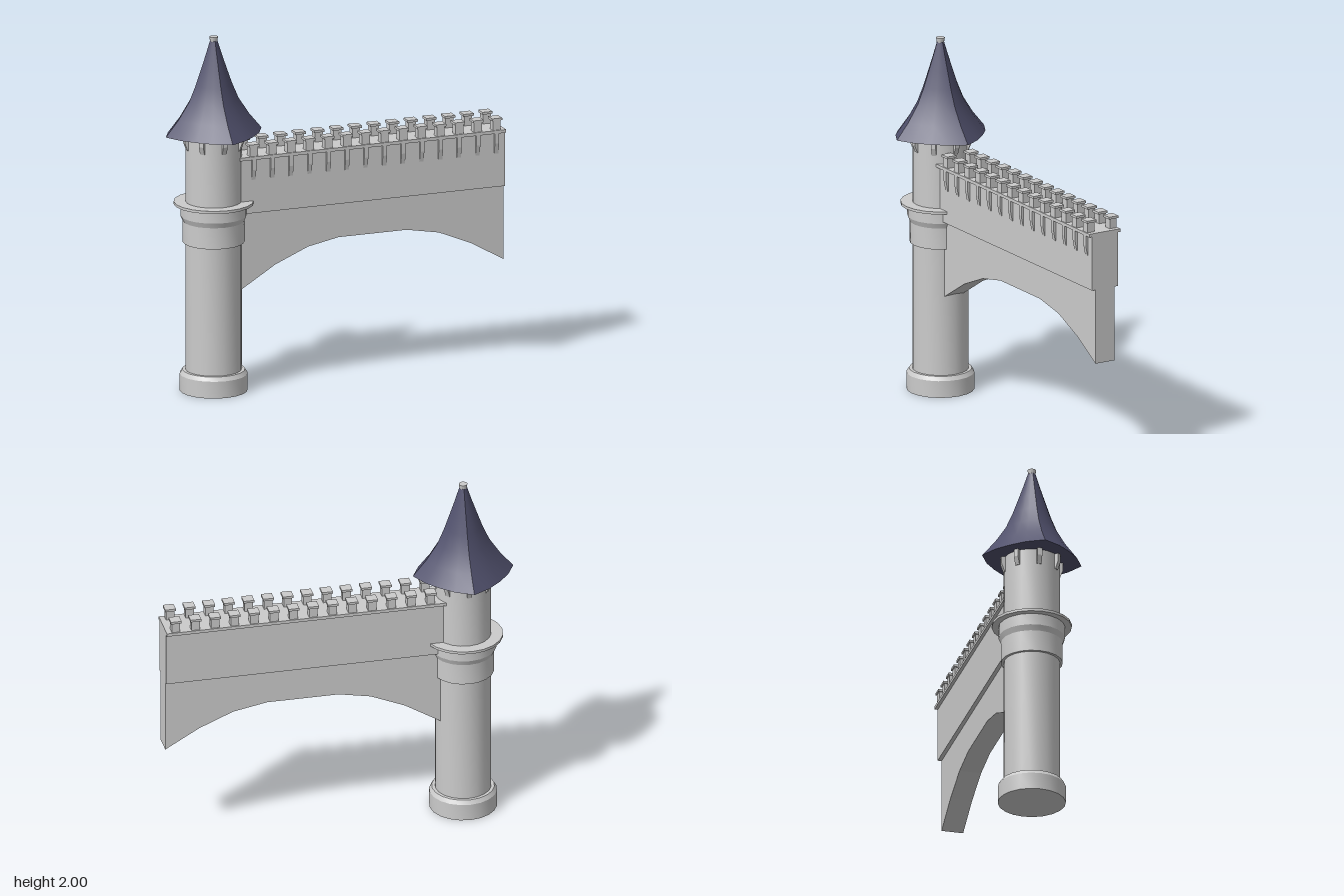
import * as THREE from 'three';
import { toCreasedNormals } from 'three/addons/utils/BufferGeometryUtils.js';

const stone = new THREE.MeshStandardMaterial({ color: 0xcccccc });
const slate = new THREE.MeshStandardMaterial({ color: 0x50506c });

function add(parent, name, geometry, material = stone) {
  const mesh = new THREE.Mesh(geometry, material);
  mesh.name = name;
  parent.add(mesh);
  return mesh;
}

function box(parent, name, w, h, d, x, y, z) {
  const mesh = add(parent, name, new THREE.BoxGeometry(w, h, d));
  mesh.position.set(x, y, z);
  return mesh;
}

const lathe = (pts, sides) =>
  new THREE.LatheGeometry(pts.map(([r, y]) => new THREE.Vector2(r, y)), sides);

// Corbel whose outer face slopes back to the wall; its back is at z = 0
function corbel(width, top, bottom, depth) {
  const s = new THREE.Shape();
  s.moveTo(0, top);
  s.lineTo(0, bottom);
  s.lineTo(depth * 0.3, bottom);
  s.lineTo(depth, bottom + (top - bottom) * 0.5);
  s.lineTo(depth, top);
  const g = new THREE.ExtrudeGeometry(s, { depth: width, bevelEnabled: false });
  g.translate(0, 0, -width / 2);
  return g.rotateY(-Math.PI / 2);
}

function createTower() {
  const tower = new THREE.Group();
  tower.name = 'tower';
  tower.position.x = -0.7;

  // Shaft with stepped plinth and collar
  const profile = [
    [0, 0], [0.186, 0], [0.186, 0.095], [0.172, 0.118], [0.154, 0.118],
    [0.154, 0.84], [0.169, 0.84], [0.169, 0.96], [0.182, 0.99], [0.182, 1.055],
    [0.219, 1.055], [0.219, 1.07], [0.154, 1.07], [0.154, 1.46], [0, 1.46],
  ];
  add(tower, 'shaft', toCreasedNormals(lathe(profile, 20), 0.4));

  // Corbels under the eaves
  const eave = corbel(0.026, 1.46, 1.37, 0.024);
  for (let i = 0; i < 8; i++) {
    const a = (i * Math.PI) / 4;
    const c = add(tower, 'eaveCorbel', eave);
    c.position.set(Math.sin(a) * 0.15, 0, Math.cos(a) * 0.15);
    c.rotation.y = a;
  }

  // Flared roof: four ridges with bulging sides between them
  const roof = lathe([
    [0, 1.457], [0.281, 1.457], [0.208, 1.545], [0.146, 1.64], [0.107, 1.73],
    [0.075, 1.82], [0.047, 1.9], [0.021, 1.98], [0, 1.98],
  ], 16);
  const p = roof.attributes.position;
  for (let i = 0; i < p.count; i++) {
    const a = Math.atan2(p.getX(i), p.getZ(i));
    const k = 1 - 0.16 * Math.abs(Math.sin(2 * a));
    p.setX(i, p.getX(i) * k);
    p.setZ(i, p.getZ(i) * k);
  }
  add(tower, 'roof', toCreasedNormals(roof, 0.45), slate);

  const finial = add(tower, 'finial',
    toCreasedNormals(new THREE.CylinderGeometry(0.024, 0.02, 0.026, 12), 0.6));
  finial.position.y = 1.987;
  return tower;
}

function createWall() {
  const wall = new THREE.Group();
  wall.name = 'wall';
  const end = 0.98, start = -0.585;

  // Arched lower wall
  const arch = [
    [start, 0.553], [-0.36, 0.69], [-0.17, 0.77], [0.01, 0.805],
    [0.41, 0.805], [0.6, 0.77], [0.79, 0.69], [end, 0.58],
  ];
  const shape = new THREE.Shape();
  shape.moveTo(start, 1.0);
  arch.forEach(([x, y]) => shape.lineTo(x, y));
  shape.lineTo(end, 1.0);
  const lower = new THREE.ExtrudeGeometry(shape, { depth: 0.122, bevelEnabled: false });
  add(wall, 'archWall', lower.translate(0, 0, -0.061));

  // Thicker upper wall and walkway slab
  const length = end - start, mid = (end + start) / 2;
  box(wall, 'upperWall', length, 0.31, 0.166, mid, 1.155, 0);
  box(wall, 'walkway', length, 0.018, 0.202, mid, 1.315, 0);

  // Capped merlons on both edges, corbels on the front only
  const bracket = corbel(0.024, 1.308, 1.19, 0.016);
  for (let i = 0; i < 14; i++) {
    const x = -0.5 + i * 0.1098;
    for (const side of [1, -1]) {
      box(wall, 'merlon', 0.046, 0.06, 0.044, x, 1.352, side * 0.072);
      box(wall, 'merlonCap', 0.06, 0.013, 0.06, x, 1.386, side * 0.071);
    }
    add(wall, 'wallCorbel', bracket).position.set(x, 0, 0.082);
  }
  return wall;
}

export function createModel() {
  const model = new THREE.Group();
  model.name = 'castleTowerAndWall';
  model.add(createTower(), createWall());
  return model;
}
